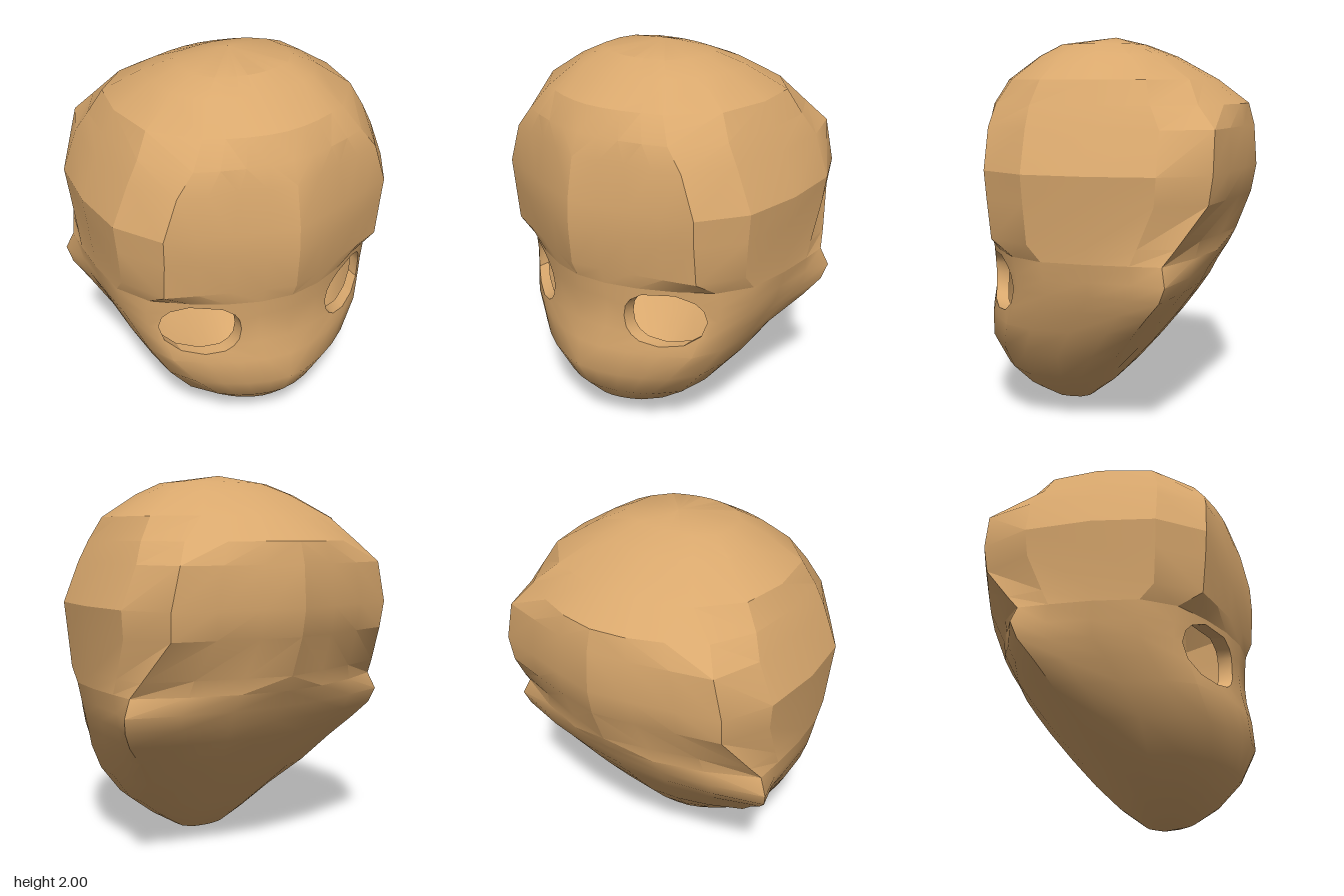
import * as THREE from 'three';
import { toCreasedNormals } from 'three/addons/utils/BufferGeometryUtils.js';

// Horizontal sections: [y, frontZ, frontCornerX, frontCornerZ, sideX, sideZ, backCornerX, backCornerZ, backZ]
const FACE = [
  [0.00, 0.24, 0, 0.24, 0, 0.24, 0, 0.24, 0.24],
  [0.04, 0.40, 0.09, 0.35, 0.14, 0.24, 0.10, 0.15, 0.13],
  [0.13, 0.53, 0.20, 0.45, 0.29, 0.25, 0.21, 0.09, 0.01],
  [0.25, 0.64, 0.32, 0.51, 0.45, 0.22, 0.37, 0.04, -0.11],
  [0.40, 0.715, 0.45, 0.52, 0.565, 0.20, 0.51, -0.09, -0.24],
  [0.55, 0.705, 0.56, 0.47, 0.645, 0.12, 0.62, -0.20, -0.36],
  [0.66, 0.685, 0.62, 0.41, 0.69, 0.06, 0.72, -0.28, -0.44],
  [0.75, 0.68, 0.65, 0.38, 0.73, 0, 0.78, -0.35, -0.50],
  [0.83, 0.685, 0.66, 0.38, 0.75, 0, 0.80, -0.38, -0.54],
  [0.92, 0.695, 0.65, 0.40, 0.77, 0, 0.76, -0.36, -0.595],
];
const SKULL = [
  FACE[FACE.length - 1],
  [1.00, 0.73, 0.62, 0.52, 0.775, 0, 0.73, -0.42, -0.635],
  [1.20, 0.745, 0.62, 0.54, 0.795, 0, 0.65, -0.56, -0.71],
  [1.34, 0.74, 0.625, 0.55, 0.81, 0, 0.66, -0.58, -0.735],
  [1.55, 0.70, 0.55, 0.55, 0.72, 0, 0.61, -0.58, -0.72],
  [1.66, 0.655, 0.46, 0.54, 0.67, 0, 0.53, -0.49, -0.69],
  [1.78, 0.59, 0.38, 0.48, 0.61, 0, 0.40, -0.43, -0.53],
  [1.90, 0.42, 0.29, 0.35, 0.42, 0.03, 0.27, -0.25, -0.31],
  [1.96, 0.31, 0.20, 0.26, 0.29, 0.05, 0.18, -0.12, -0.15],
  [2.00, 0.02, 0, 0.02, 0, 0.02, 0, 0.02, 0.02],
];
const FRONT = 4, BACK = 3;
const FRONT_SIDE = [0, 55], BACK_SIDE = [0, 35]; // degrees round the sides
const EYE = { x: 0.43, y: 0.75, rx: 0.18, ry: 0.15, depth: 0.07 };

// The forehead band is wedge-shaped in plan, the rest is rounder
const roundness = y => (y > 0.95 && y < 1.6 ? 1.15 : 1.8);
const frontZ = (y, zf, zc, t) => zf - (zf - zc) * Math.pow(t, roundness(y));

// Left half of one section, from the front centre round to the back centre
function halfSection([y, zf, xc, zc, w, zw, xb, zb, zm]) {
  const pts = [];
  const add = (x, z) => pts.push(new THREE.Vector3(x, y, z));
  for (let i = 0; i < FRONT; i++) add(xc * i / FRONT, frontZ(y, zf, zc, i / FRONT));
  for (const a of FRONT_SIDE.map(THREE.MathUtils.degToRad))
    add(xc + (w - xc) * Math.sin(a), zw + (zc - zw) * Math.cos(a));
  for (const a of BACK_SIDE.map(THREE.MathUtils.degToRad))
    add(xb + (w - xb) * Math.cos(a), zw + (zb - zw) * Math.sin(a));
  for (let i = 0; i <= BACK; i++) {
    const s = 1 - i / BACK;
    add(xb * s, zm + (zb - zm) * Math.pow(s, roundness(y)));
  }
  return pts;
}

// Triangle list that skips collapsed triangles and mirrors itself in x
function makeBuilder() {
  const tris = [];
  const tri = (a, b, c) => {
    if (new THREE.Triangle(a, b, c).getArea() > 1e-7) tris.push([a, b, c]);
  };
  const quad = (a, b, c, d) => { tri(a, b, c); tri(a, c, d); };
  const build = (crease) => {
    const pos = [];
    for (const [a, b, c] of tris) {
      for (const p of [a, b, c]) pos.push(p.x, p.y, p.z);
      for (const p of [a, c, b]) pos.push(-p.x, p.y, p.z);
    }
    const g = new THREE.BufferGeometry();
    g.setAttribute('position', new THREE.Float32BufferAttribute(pos, 3));
    return toCreasedNormals(g, crease);
  };
  return { quad, build };
}

// Point of the face front at a given x and y
function onFace(x, y) {
  let i = 0;
  while (i < FACE.length - 2 && FACE[i + 1][0] < y) i++;
  const k = (y - FACE[i][0]) / (FACE[i + 1][0] - FACE[i][0]);
  const [zf, xc, zc] = [1, 2, 3].map(j => THREE.MathUtils.lerp(FACE[i][j], FACE[i + 1][j], k));
  return new THREE.Vector3(x, y, frontZ(y, zf, zc, Math.min(x / xc, 1)));
}

function eyeEdge(p) {
  const a = Math.atan2((p.y - EYE.y) / EYE.ry, (p.x - EYE.x) / EYE.rx);
  const round = v => Math.sign(v) * Math.pow(Math.abs(v), 0.9);
  return onFace(EYE.x + EYE.rx * round(Math.cos(a)), EYE.y + EYE.ry * round(Math.sin(a)));
}

// Skin over the sections; keep(i, j) can leave cells open
function skin(builder, rows, keep = () => true) {
  for (let j = 0; j < rows.length - 1; j++)
    for (let i = 0; i < rows[j].length - 1; i++)
      if (keep(i, j)) builder.quad(rows[j][i], rows[j][i + 1], rows[j + 1][i + 1], rows[j + 1][i]);
}

export function createModel() {
  const group = new THREE.Group();
  const tan = new THREE.MeshStandardMaterial({ color: 0xd9a86d, side: THREE.DoubleSide });
  tan.name = 'tan';
  const addMesh = (name, geometry) => {
    const m = new THREE.Mesh(geometry, tan);
    m.name = name;
    group.add(m);
  };

  // Face, with a block of cells left open around each eye
  const face = makeBuilder();
  const rows = FACE.map(halfSection);
  const c0 = 1, c1 = FRONT, r0 = 5, r1 = FACE.length - 1;
  skin(face, rows, (i, j) => !(i >= c0 && i < c1 && j >= r0 && j < r1));

  // Ring of faces from the open block to the eye hole, and the rim inside it
  const border = [];
  for (let i = c0; i < c1; i++) border.push(rows[r0][i]);
  for (let j = r0; j < r1; j++) border.push(rows[j][c1]);
  for (let i = c1; i > c0; i--) border.push(rows[r1][i]);
  for (let j = r1; j > r0; j--) border.push(rows[j][c0]);
  const edge = border.map(eyeEdge);
  const inner = edge.map(p => p.clone().setZ(p.z - EYE.depth));
  const rim = makeBuilder();
  border.forEach((p, i) => {
    const n = (i + 1) % border.length;
    face.quad(p, border[n], edge[n], edge[i]);
    rim.quad(edge[i], edge[n], inner[n], inner[i]);
  });
  addMesh('face', face.build(0.75));
  addMesh('eyeRims', rim.build(0.5));

  // Faceted skull above the brow
  const skull = makeBuilder();
  skin(skull, SKULL.map(halfSection));
  addMesh('skull', skull.build(0.36));

  return group;
}
